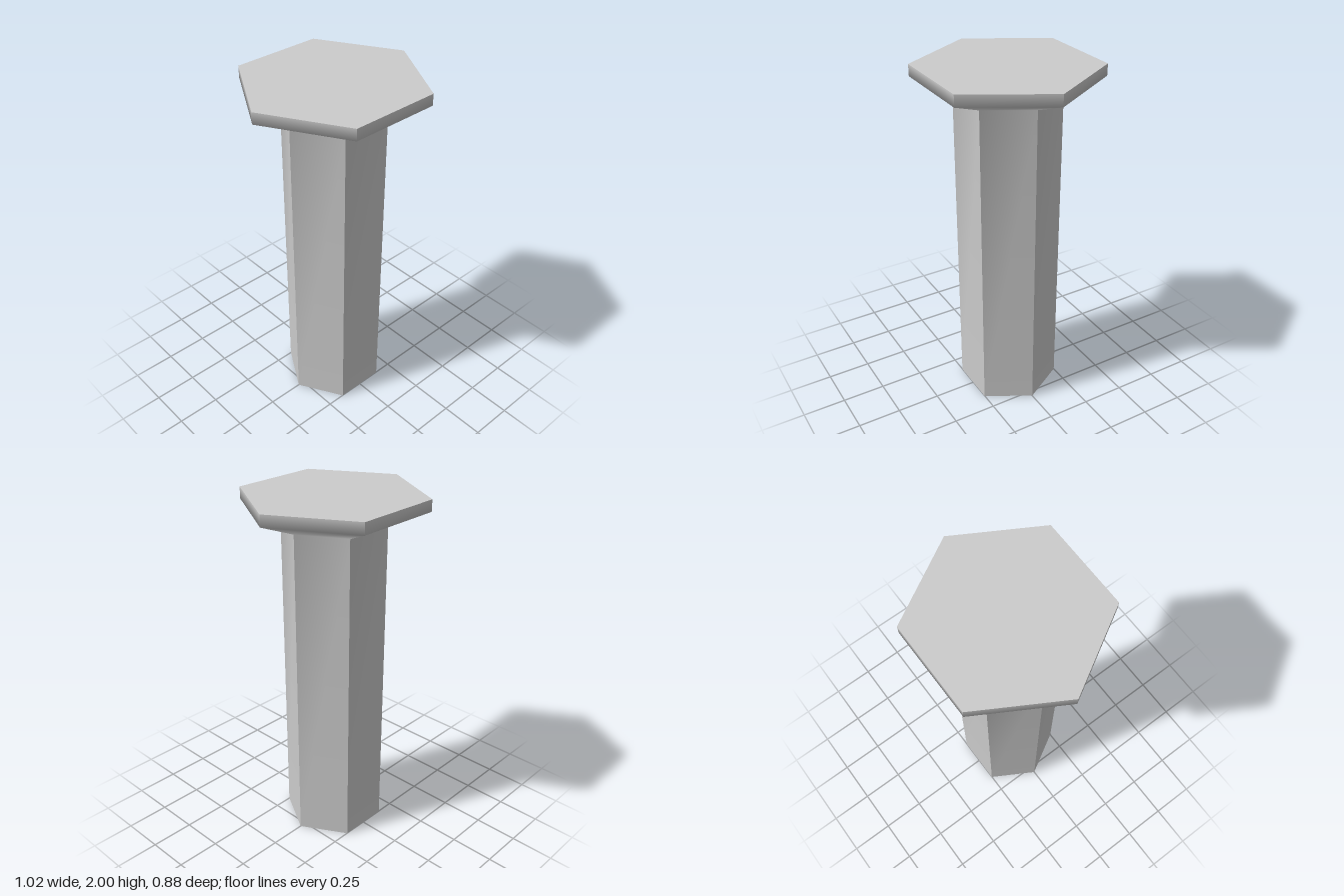
import * as THREE from 'three';
import { mergeGeometries } from 'three/addons/utils/BufferGeometryUtils.js';

const SIDES = 6;
// Outline from top to bottom: [corner radius, height]
const PROFILE = [[0.51, 2], [0.51, 1.935], [0.29, 1.846], [0.29, 0]];

// One side panel: smooth along its height, sharp against its neighbours
function sidePanel(index) {
  const step = (Math.PI * 2) / SIDES;
  const panel = new THREE.PlaneGeometry(1, 1, 1, PROFILE.length - 1);
  const pos = panel.attributes.position;
  for (let i = 0; i < pos.count; i++) {
    const [r, y] = PROFILE[Math.floor(i / 2)];
    const a = (index + 0.5 + (i % 2)) * step;
    pos.setXYZ(i, r * Math.sin(a), y, r * Math.cos(a));
  }
  panel.computeVertexNormals();
  return panel;
}

export function createModel() {
  const model = new THREE.Group();
  model.name = 'hexagonalBolt';
  const material = new THREE.MeshStandardMaterial({ color: 0xcccccc });
  const add = (name, geometry) => {
    const mesh = new THREE.Mesh(geometry, material);
    mesh.name = name;
    model.add(mesh);
  };

  // Shaft, flared neck and head rim
  const panels = Array.from({ length: SIDES }, (_, i) => sidePanel(i));
  add('shaftAndFlaredHead', mergeGeometries(panels));

  // Flat ends
  const [topRadius, topY] = PROFILE[0];
  const [footRadius, footY] = PROFILE[PROFILE.length - 1];
  add('headTop', new THREE.CircleGeometry(topRadius, SIDES).rotateX(-Math.PI / 2).translate(0, topY, 0));
  add('shaftEnd', new THREE.CircleGeometry(footRadius, SIDES).rotateX(Math.PI / 2).translate(0, footY, 0));

  return model;
}
